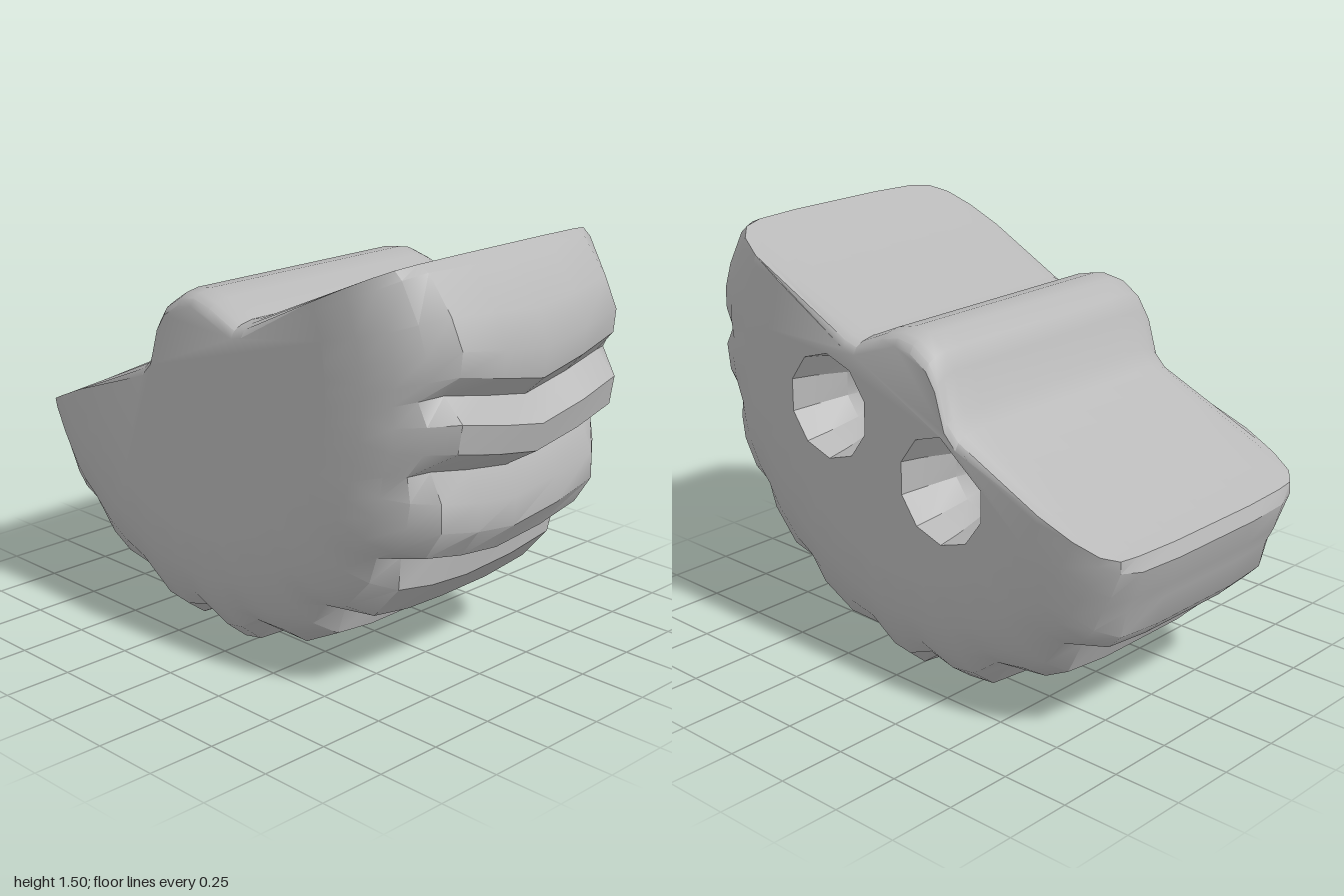
import * as THREE from 'three';
import { mergeGeometries, toCreasedNormals } from 'three/addons/utils/BufferGeometryUtils.js';

// Hub of the half disc; rim points are scaled and turned about it
const HUB = [-0.1, 1.08];

// Ribbed rim, clockwise from the high corner to the low corner
const RIM = [
  [0.79, 1.505], [0.84, 1.48], [0.94, 1.35], [0.99, 1.24], [0.98, 1.15], [0.91, 1.08],
  [0.99, 1.0], [0.97, 0.9], [0.85, 0.82], [0.9, 0.72], [0.9, 0.62], [0.83, 0.52],
  [0.72, 0.5], [0.71, 0.38], [0.6, 0.26], [0.47, 0.27], [0.43, 0.15], [0.28, 0.075],
  [0.13, 0.11], [0.05, 0.015], [-0.03, 0.0], [-0.14, 0.09], [-0.25, 0.025], [-0.36, 0.035],
  [-0.46, 0.16], [-0.6, 0.15], [-0.7, 0.2], [-0.76, 0.33], [-0.87, 0.35], [-0.92, 0.4],
  [-0.94, 0.5], [-0.97, 0.56], [-1.0, 0.66], [-0.98, 0.71],
];

// Stepped top with its rounded hump, low side to high side
const TOP = [
  [-0.35, 1.0], [-0.3, 1.05], [-0.26, 1.18], [-0.22, 1.24], [-0.15, 1.285],
  [-0.08, 1.295], [0, 1.275], [0.12, 1.222], [0.17, 1.235],
];

// Half of the cross-sections: z, rim scale, rib strength, top drop, rib turn
const SECTIONS = [
  [0, 1, 1, 0, -0.04], [0.2, 1, 1, 0, -0.005], [0.38, 0.99, 0.95, 0, 0.03],
  [0.46, 0.96, 0.5, 0, 0.02], [0.51, 0.9, 0.15, 0.01, 0],
  [0.54, 0.8, 0, 0.025, 0], [0.555, 0.66, 0, 0.05, 0],
];

function outline([, scale, rib, drop, turn]) {
  const rim = RIM.map(([x, y], i) => {
    const dx = x - HUB[0], dy = y - HUB[1];
    const r = THREE.MathUtils.lerp(1, Math.hypot(dx, dy), rib) * scale;
    // ribs form a shallow chevron on the high side
    const fade = Math.min(1, i / 4) * THREE.MathUtils.clamp(x + 0.3, 0, 1);
    const a = Math.atan2(dy, dx) + turn * fade;
    return [HUB[0] + r * Math.cos(a), Math.max(0, HUB[1] + r * Math.sin(a))];
  });
  return [...rim, ...TOP.map(([x, y]) => [x, y - drop])];
}

function shell() {
  const rows = [
    ...SECTIONS.slice(1).reverse().map((s) => [-s[0], outline(s)]),
    ...SECTIONS.map((s) => [s[0], outline(s)]),
  ];
  const n = RIM.length + TOP.length;
  const position = [], index = [];
  rows.forEach(([z, pts], k) => {
    pts.forEach(([x, y]) => position.push(x, y, z));
    if (k === rows.length - 1) return;
    for (let i = 0; i < n; i++) {
      const j = (i + 1) % n;
      const a = k * n + i, b = k * n + j, c = b + n, d = a + n;
      index.push(a, d, c, a, c, b);
    }
  });
  const g = new THREE.BufferGeometry();
  g.setAttribute('position', new THREE.Float32BufferAttribute(position, 3));
  g.setIndex(index);
  return g;
}

const SOCKETS = [[0.255, 0.96], [-0.28, 0.79]];
const SIDES = 10, MOUTH = 0.19;

function cap(sign) {
  const end = SECTIONS[SECTIONS.length - 1];
  const shape = new THREE.Shape(outline(end).map(([x, y]) => new THREE.Vector2(sign * x, y)));
  if (sign < 0) {
    // openings for the sockets
    for (const [cx, cy] of SOCKETS) {
      const ring = [];
      for (let i = 0; i < SIDES; i++) {
        const a = (i / SIDES) * Math.PI * 2;
        ring.push(new THREE.Vector2(-cx + MOUTH * Math.sin(a), cy + MOUTH * Math.cos(a)));
      }
      shape.holes.push(new THREE.Path(ring));
    }
  }
  const g = new THREE.ShapeGeometry(shape).translate(0, 0, end[0]);
  return sign < 0 ? g.rotateY(Math.PI) : g;
}

function bare(g) {
  g = g.index ? g.toNonIndexed() : g;
  g.deleteAttribute('uv');
  g.deleteAttribute('normal');
  return g;
}

export function createModel() {
  const group = new THREE.Group();
  const grey = new THREE.MeshStandardMaterial({ color: 0xb8b8b8 });
  grey.name = 'plain grey';

  // Solid half disc with flat ends
  const solid = mergeGeometries([shell(), cap(1), cap(-1)].map(bare));
  const body = new THREE.Mesh(toCreasedNormals(solid, 0.6), grey);
  body.name = 'ribbedBody';
  group.add(body);

  // Two tapering sockets sunk into the back
  const profile = [[MOUTH, 0.555], [0.175, 0.47], [0.14, 0.34], [0.08, 0.27], [0, 0.25]]
    .map(([r, y]) => new THREE.Vector2(r, y));
  SOCKETS.forEach(([x, y]) => {
    const g = new THREE.LatheGeometry(profile, SIDES).rotateX(-Math.PI / 2);
    const socket = new THREE.Mesh(toCreasedNormals(bare(g), 0.5), grey);
    socket.position.set(x, y, 0);
    socket.name = 'backSocket';
    group.add(socket);
  });
  return group;
}
